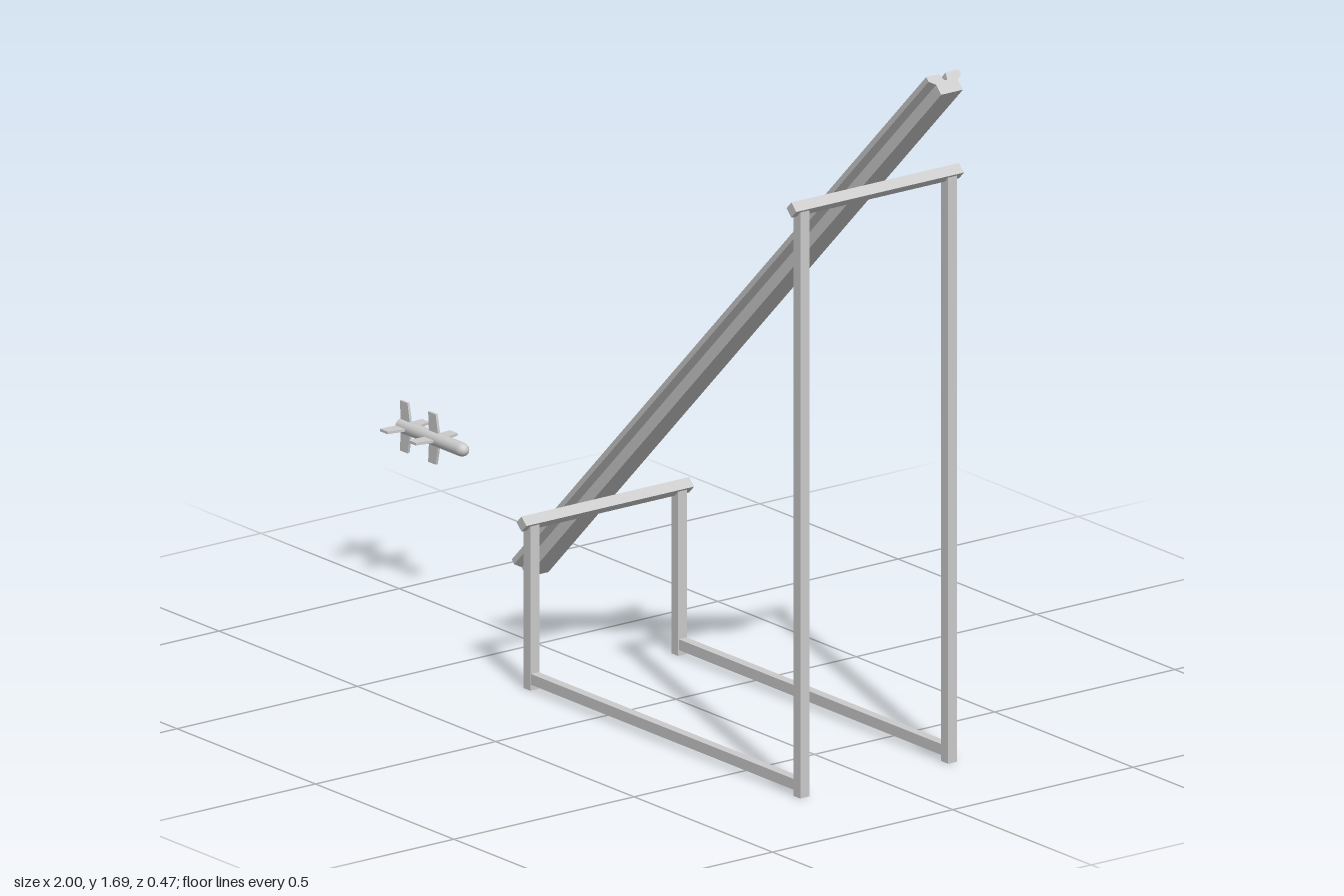
import * as THREE from 'three';

const mat = new THREE.MeshStandardMaterial({ color: 0xcccccc, flatShading: true });
const smooth = new THREE.MeshStandardMaterial({ color: 0xcccccc });

function add(parent, name, geometry, x = 0, y = 0, z = 0, material = mat) {
  const mesh = new THREE.Mesh(geometry, material);
  mesh.name = name;
  mesh.position.set(x, y, z);
  parent.add(mesh);
  return mesh;
}

// Grooved launch rail: a wide lip over a narrower body, extruded along the slope
function makeRail() {
  const half = [[0.03, 0], [0.03, 0.026], [0.045, 0.037], [0.045, 0.0495], [0.009, 0.0495], [0.004, 0.032]];
  const points = [...half, ...half.map(([x, y]) => [-x, y]).reverse()];
  const shape = new THREE.Shape(points.map(([x, y]) => new THREE.Vector2(x, y)));
  const geometry = new THREE.ExtrudeGeometry(shape, { depth: 2.118, bevelEnabled: false });
  const k = Math.SQRT1_2;
  geometry.applyMatrix4(new THREE.Matrix4().makeBasis(
    new THREE.Vector3(0, 0, -1), new THREE.Vector3(-k, k, 0), new THREE.Vector3(k, k, 0)));
  return geometry;
}

// Small rocket lying along +x, with two sets of four fins
function makeRocket() {
  const rocket = new THREE.Group();
  rocket.name = 'rocket';
  const r = 0.016, length = 0.238;
  const profile = [[0, 0], [r, 0], [r, 0]];
  for (let i = 0; i <= 6; i++) {
    const a = (i / 6) * Math.PI / 2;
    profile.push([r * Math.cos(a), length - 0.02 + 0.02 * Math.sin(a)]);
  }
  const body = new THREE.LatheGeometry(profile.map(([x, y]) => new THREE.Vector2(Math.max(x, 0), y)), 20);
  body.rotateZ(-Math.PI / 2);
  add(rocket, 'rocketBody', body, 0, 0, 0, smooth);

  const outline = new THREE.Shape([[0.003, 0.01], [0.036, 0.01], [0.034, 0.025], [0.027, 0.058], [0, 0.058]]
    .map(([x, y]) => new THREE.Vector2(x, y)));
  const fin = new THREE.ExtrudeGeometry(outline, { depth: 0.006, bevelEnabled: false });
  fin.translate(0, 0, -0.003);
  for (const [name, x] of [['tailFin', 0], ['middleFin', 0.102]]) {
    for (let i = 0; i < 4; i++) add(rocket, name, fin, x).rotation.x = i * Math.PI / 2;
  }
  return rocket;
}

export function createModel() {
  const model = new THREE.Group();
  model.name = 'rocketLauncher';

  add(model, 'launchRail', makeRail(), -0.5, 0.16, 0);

  // Stand: crossbars tilted to the rail, legs and ground bars
  const t = 0.025;
  const stand = new THREE.Group();
  stand.name = 'stand';
  model.add(stand);
  for (const [end, x, y] of [['low', -0.255, 0.385], ['high', 0.72, 1.36]]) {
    add(stand, end + 'Crossbar', new THREE.BoxGeometry(t, t, 0.465), x, y, 0).rotation.z = Math.PI / 4;
    for (const side of [-1, 1]) {
      add(stand, end + 'Leg', new THREE.BoxGeometry(t, y, t), x, y / 2, side * 0.205);
    }
  }
  for (const side of [-1, 1]) {
    add(stand, 'groundBar', new THREE.BoxGeometry(0.975, t, 0.022), 0.2325, 0.026, side * 0.205);
  }

  const rocket = makeRocket();
  rocket.position.set(-1, 0.377, -0.005);
  model.add(rocket);
  return model;
}
